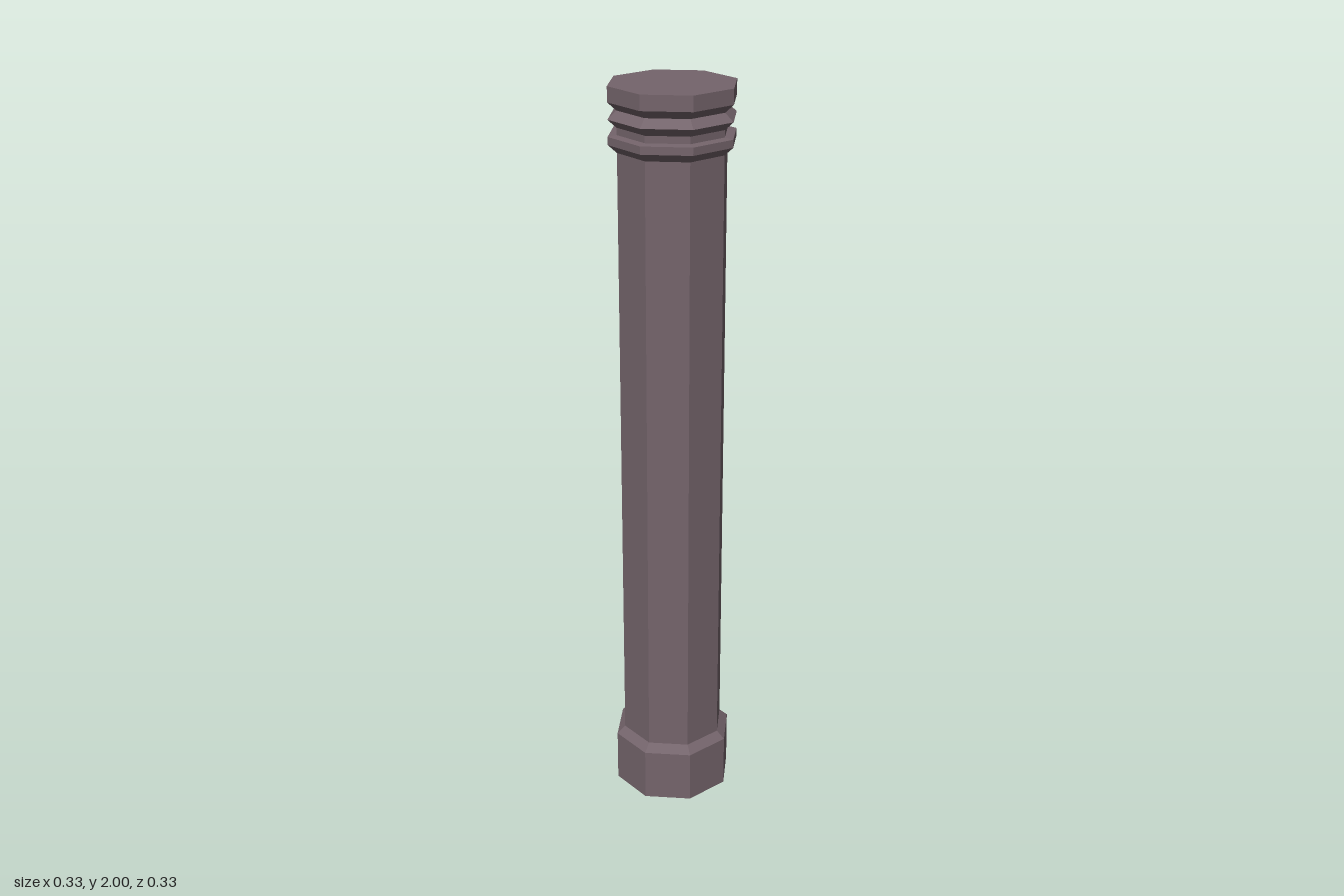
import * as THREE from 'three';

const SIDES = 8;
const OUTER = 0.166; // radius of base and mouldings
const INNER = 0.143; // radius of shaft and grooves

// Faceted octagonal turning from a bottom-to-top [radius, height] profile
function turned(name, profile, material) {
  const points = profile.map(([r, y]) => new THREE.Vector2(r, y));
  const geometry = new THREE.LatheGeometry(points, SIDES).toNonIndexed();
  geometry.computeVertexNormals();
  const mesh = new THREE.Mesh(geometry, material);
  mesh.name = name;
  return mesh;
}

export function createModel() {
  const stone = new THREE.MeshStandardMaterial({ color: 0x74646b });
  stone.name = 'mauve stone';

  const column = new THREE.Group();
  column.name = 'column';

  // Plinth with a bevelled shoulder
  column.add(turned('base', [[0, 0], [OUTER, 0], [OUTER, 0.148], [INNER, 0.169]], stone));

  // Plain shaft
  column.add(turned('shaft', [[INNER, 0.169], [INNER, 1.836]], stone));

  // Lower collar, pointed ring and top slab
  column.add(turned('collar', [
    [INNER, 1.836], [OUTER, 1.857], [OUTER, 1.877], [INNER, 1.88], [INNER, 1.898],
  ], stone));
  column.add(turned('ring', [[INNER, 1.898], [OUTER, 1.919], [INNER, 1.94]], stone));
  column.add(turned('capital', [[INNER, 1.94], [OUTER, 1.961], [OUTER, 2], [0, 2]], stone));

  return column;
}
